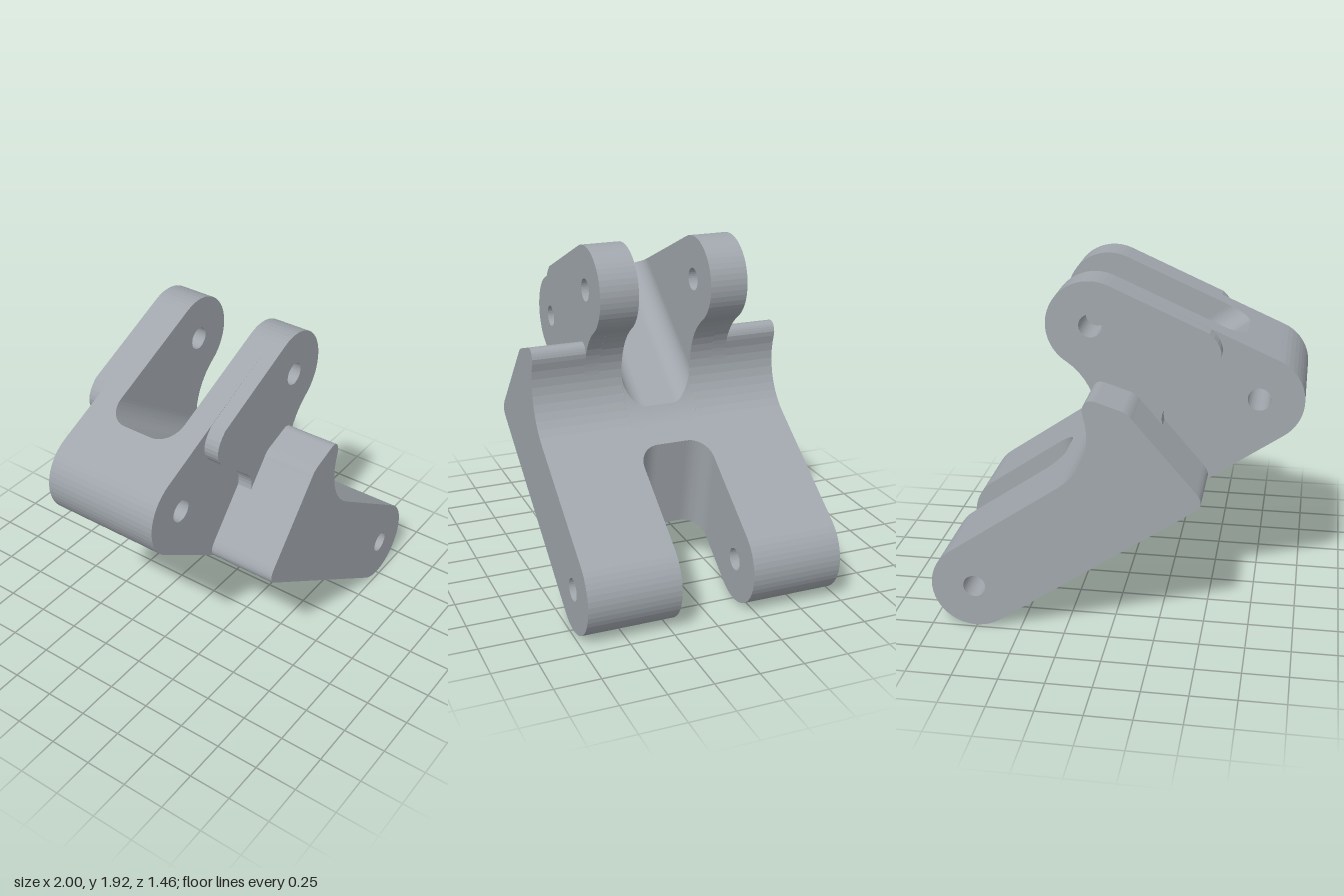
import * as THREE from 'three';

const rad = THREE.MathUtils.degToRad;
const V = (x, y) => new THREE.Vector2(x, y);
const polar = (c, r, a) => V(c.x + r * Math.cos(rad(a)), c.y + r * Math.sin(rad(a)));

// Pivot centres and shared radii
const boss = V(-0.757, 1.288), lug = V(0.145, 1.682), foot = V(0.757, 0.243), throat = V(0.48, 1.174);
const R = 0.243, THROAT_R = 0.366, HOLE_R = 0.063;
// Normal angles of the straight edges, and of the throat-to-lug tangent
const LOW = 235.4, UP = 55.4, TOP = 113.6, NECK = 123.4;
// Depth levels
const SLOT = 0.208, BODY = 0.34, LUG = 0.425, LEG = 0.73, FILLET = 0.12;

function arc(c, r, a0, a1, n = Math.max(2, Math.ceil(Math.abs(a1 - a0) / 7.5))) {
  return Array.from({ length: n + 1 }, (_, i) => polar(c, r, a0 + (a1 - a0) * i / n));
}

function bend(a, b, c) {
  return new THREE.QuadraticBezierCurve(a, b, c).getPoints(8);
}

// Line given by a point and the angle of its normal, moved along that normal
const line = (p, a, shift = 0) => ({ p: polar(p, shift, a), a: rad(a) });

function meet(l1, l2) {
  const [c1, s1, c2, s2] = [Math.cos(l1.a), Math.sin(l1.a), Math.cos(l2.a), Math.sin(l2.a)];
  const d1 = c1 * l1.p.x + s1 * l1.p.y, d2 = c2 * l2.p.x + s2 * l2.p.y;
  const det = c1 * s2 - s1 * c2;
  return V((d1 * s2 - d2 * s1) / det, (c1 * d2 - c2 * d1) / det);
}

// Flat plate between two depths, with round pivot holes
function plate(points, holes, z0, z1) {
  const shape = new THREE.Shape(points);
  holes.forEach(c => shape.holes.push(new THREE.Path(arc(c, HOLE_R, 360, 0, 32).slice(0, -1))));
  const g = new THREE.ExtrudeGeometry(shape, { depth: z1 - z0, bevelEnabled: false });
  return g.translate(0, 0, z0);
}

// Skin through closed loops of equal length, each at its own depth
function loft(loops, depths) {
  const n = loops[0].length, pos = [], index = [];
  loops.forEach((loop, j) => loop.forEach(p => pos.push(p.x, p.y, depths[j])));
  for (let j = 0; j < loops.length - 1; j++) {
    for (let i = 0; i < n; i++) {
      const a = j * n + i, b = j * n + (i + 1) % n;
      index.push(a, b, b + n, a, b + n, a + n);
    }
  }
  const g = new THREE.BufferGeometry();
  g.setAttribute('position', new THREE.Float32BufferAttribute(pos, 3));
  g.setIndex(index);
  const flat = g.toNonIndexed();
  flat.computeVertexNormals();
  return flat;
}

// Cross-section of the web between the two slots; h is the fillet height
function webLoop(h) {
  const floorStart = V(-0.67, 1.592), floorAngle = 53.9;
  const floor = line(floorStart, floorAngle, h);
  const wall = line(V(0.355, 0.815), -9.6, h);
  const m = polar(V(0, 0), 1, floorAngle);
  const reach = m.dot(throat.clone().sub(floorStart)) - h;
  const end = floorAngle + 180 - THREE.MathUtils.radToDeg(Math.acos(reach / THROAT_R));
  return [
    ...arc(boss, R, TOP, LOW),
    meet(wall, line(foot, LOW, R)),
    meet(wall, line(foot, UP, R)),
    ...arc(throat, THROAT_R, LOW, end, 8),
    meet(floor, line(boss, TOP, R)),
  ];
}

export function createModel() {
  const model = new THREE.Group();
  model.name = 'clevisBracket';
  const metal = new THREE.MeshStandardMaterial({ color: 0xa0a6ac });
  metal.name = 'grey metal';
  const add = (name, geometry) => {
    const mesh = new THREE.Mesh(geometry, metal);
    mesh.name = name;
    model.add(mesh);
  };

  // Full side outline
  const body = [
    ...arc(foot, R, LOW - 360, UP),
    ...arc(throat, THROAT_R, LOW, NECK),
    ...arc(lug, R, NECK - 180, TOP),
    ...arc(boss, R, TOP, LOW),
  ];
  // Raised cheek around the upper pivot
  const cheek = [
    ...arc(lug, R, NECK - 180, TOP),
    ...bend(V(-0.49, 1.668), V(-0.6, 1.57), V(-0.52, 1.475)),
    ...bend(V(-0.285, 1.27), V(-0.21, 1.2), V(-0.263, 1.105)),
    V(0, 1.05),
    ...arc(throat, THROAT_R, 180, NECK),
  ];
  // Wide leg with its shoulder
  const leg = [
    ...arc(foot, R, LOW - 360, UP),
    ...arc(throat, THROAT_R, LOW, 161),
    ...bend(V(0.138, 1.32), V(0.127, 1.385), V(0.07, 1.372)),
    ...bend(V(-0.075, 1.325), V(-0.105, 1.313), V(-0.125, 1.285)),
    ...bend(V(-0.465, 0.89), V(-0.51, 0.835), V(-0.475, 0.798)),
  ];

  for (const [side, s] of [['front', 1], ['back', -1]]) {
    const layer = (name, pts, holes, a, b) =>
      add(side + name, plate(pts, holes, s > 0 ? a : -b, s > 0 ? b : -a));
    layer('SidePlate', body, [boss, lug, foot], SLOT, BODY);
    layer('LugCheek', cheek, [lug], BODY, LUG);
    layer('Leg', leg, [foot], BODY, LEG);
  }

  // Central web with filleted slot floors
  const loops = [], depths = [];
  for (const s of [-1, 1]) {
    for (let i = 0; i <= 12; i++) {
      const a = rad(90 * (s < 0 ? 12 - i : i) / 12);
      loops.push(webLoop(FILLET * (1 - Math.cos(a))));
      depths.push(s * (SLOT - FILLET + FILLET * Math.sin(a)));
    }
  }
  add('centralWeb', loft(loops, depths));

  // Bore through the web at the left pivot
  const bore = arc(boss, HOLE_R, 360, 0, 32).slice(0, -1);
  add('bossBore', loft([bore, bore], [-SLOT, SLOT]));

  return model;
}
